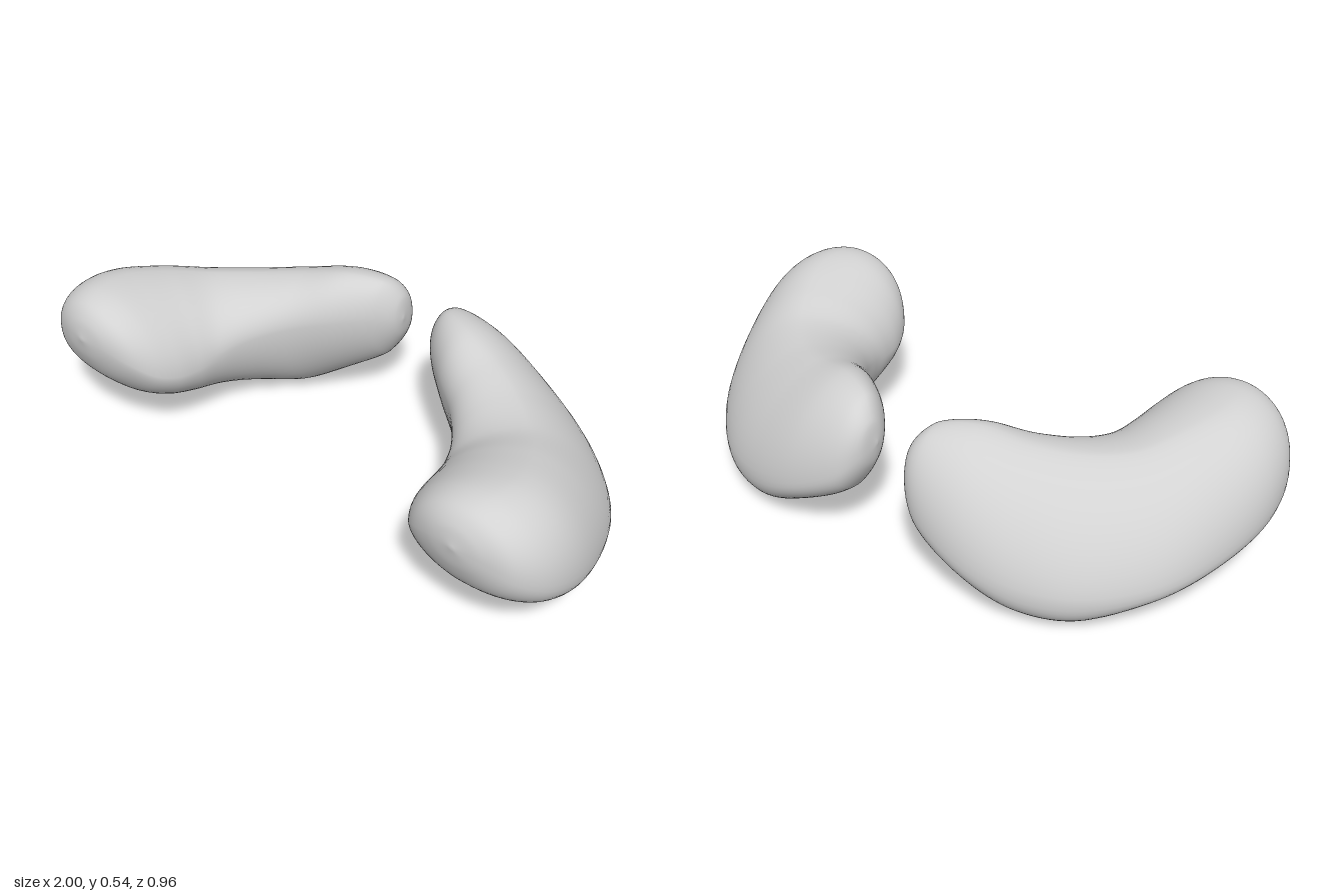
import * as THREE from 'three';

// Stations from the inner back tip to the front end:
// inner edge x, y, z | outer edge x, y, z | top y, bottom y |
// where the crest and the keel sit between inner (-1) and outer (1) |
// flatness of the upper outer flank (1 is round)
const STATIONS = [
  [0.068, 0.375, -0.335, 0.068, 0.375, -0.335, 0.375, 0.375, 0, 0, 1],
  [0.078, 0.38, -0.295, 0.085, 0.36, -0.40, 0.45, 0.30, -0.1, 0, 1],
  [0.125, 0.39, -0.23, 0.15, 0.29, -0.455, 0.51, 0.20, -0.3, 0.1, 1.05],
  [0.22, 0.38, -0.145, 0.32, 0.20, -0.482, 0.523, 0.105, -0.35, 0.1, 1.12],
  [0.34, 0.35, -0.055, 0.50, 0.145, -0.455, 0.49, 0.018, -0.28, 0.1, 1.22],
  [0.425, 0.32, 0.05, 0.68, 0.13, -0.372, 0.468, 0.005, -0.18, 0.25, 1.28],
  [0.46, 0.295, 0.14, 0.855, 0.15, -0.20, 0.468, 0.055, -0.05, 0.0, 1.25],
  [0.475, 0.28, 0.22, 0.952, 0.195, 0.0, 0.502, 0.092, 0.05, -0.15, 1.12],
  [0.49, 0.285, 0.30, 0.998, 0.26, 0.20, 0.533, 0.125, 0.14, -0.1, 1.03],
  [0.52, 0.31, 0.37, 0.982, 0.31, 0.335, 0.54, 0.18, 0.1, -0.1, 1],
  [0.575, 0.36, 0.428, 0.925, 0.36, 0.42, 0.52, 0.25, 0.05, 0, 1],
  [0.655, 0.40, 0.463, 0.84, 0.40, 0.461, 0.475, 0.33, 0, 0, 1],
  [0.75, 0.41, 0.478, 0.75, 0.41, 0.478, 0.41, 0.41, 0, 0, 1],
];
const RINGS = 96;
const SIDES = 56;

const curve = (fn) =>
  new THREE.CatmullRomCurve3(STATIONS.map((s, i) => new THREE.Vector3(...fn(s, i * 0.15))));
const innerCurve = curve((s) => [s[0], s[1], s[2]]);
const outerCurve = curve((s) => [s[3], s[4], s[5]]);
const heightCurve = curve((s, along) => [s[6], s[7], along]);
const leanCurve = curve((s, along) => [s[8], s[9], along]);
const flankCurve = curve((s, along) => [s[10], 0, along]);

// Point of one cross-section, made of four rounded quarters
function sectionPoint(angle, inner, outer, height, lean, flank) {
  const c = Math.cos(angle);
  const s = Math.sin(angle);
  const isTop = s >= 0;
  const isOuter = c >= 0;
  // Full outer lower corner, flatter inner underside
  const lowerPower = isOuter ? 0.8 : 1.08;
  const upperPower = isOuter ? flank.x : 1;
  const power = isTop ? upperPower : lowerPower;
  const edge = isOuter ? outer : inner;
  const middle = isTop ? lean.x : lean.y;
  const limit = isTop ? height.x : height.y;
  const u = middle + ((isOuter ? 1 : -1) - middle) * Math.pow(Math.abs(c), power);
  const p = new THREE.Vector3().lerpVectors(inner, outer, (u + 1) / 2);
  p.y = edge.y + (limit - edge.y) * Math.pow(Math.abs(s), power);
  return p;
}

// One curved bean; side = 1 for left, -1 for right
function beanGeometry(side) {
  const pos = [];
  const index = [];
  const tri = (a, b, c) => (side > 0 ? index.push(a, b, c) : index.push(a, c, b));
  const add = (p) => pos.push(side * p.x, p.y, p.z);
  const curves = [innerCurve, outerCurve, heightCurve, leanCurve, flankCurve];

  add(innerCurve.getPoint(0));
  for (let i = 1; i < RINGS; i++) {
    const section = curves.map((c) => c.getPoint(i / RINGS));
    for (let j = 0; j < SIDES; j++) add(sectionPoint((j / SIDES) * Math.PI * 2, ...section));
  }
  add(innerCurve.getPoint(1));

  // Skin between the rings, closed by a fan at each tip
  const at = (i, j) => 1 + (i - 1) * SIDES + (j % SIDES);
  const last = pos.length / 3 - 1;
  for (let j = 0; j < SIDES; j++) {
    tri(0, at(1, j + 1), at(1, j));
    for (let i = 1; i < RINGS - 1; i++) {
      tri(at(i, j), at(i, j + 1), at(i + 1, j));
      tri(at(i, j + 1), at(i + 1, j + 1), at(i + 1, j));
    }
    tri(at(RINGS - 1, j), at(RINGS - 1, j + 1), last);
  }

  const geometry = new THREE.BufferGeometry();
  geometry.setAttribute('position', new THREE.Float32BufferAttribute(pos, 3));
  geometry.setIndex(index);
  geometry.computeVertexNormals();
  return geometry;
}

export function createModel() {
  const group = new THREE.Group();
  group.name = 'beanPair';
  const grey = new THREE.MeshStandardMaterial({ color: 0xd2d2d2 });
  grey.name = 'light grey';
  for (const [name, side] of [['leftBean', 1], ['rightBean', -1]]) {
    const bean = new THREE.Mesh(beanGeometry(side), grey);
    bean.name = name;
    group.add(bean);
  }
  return group;
}
